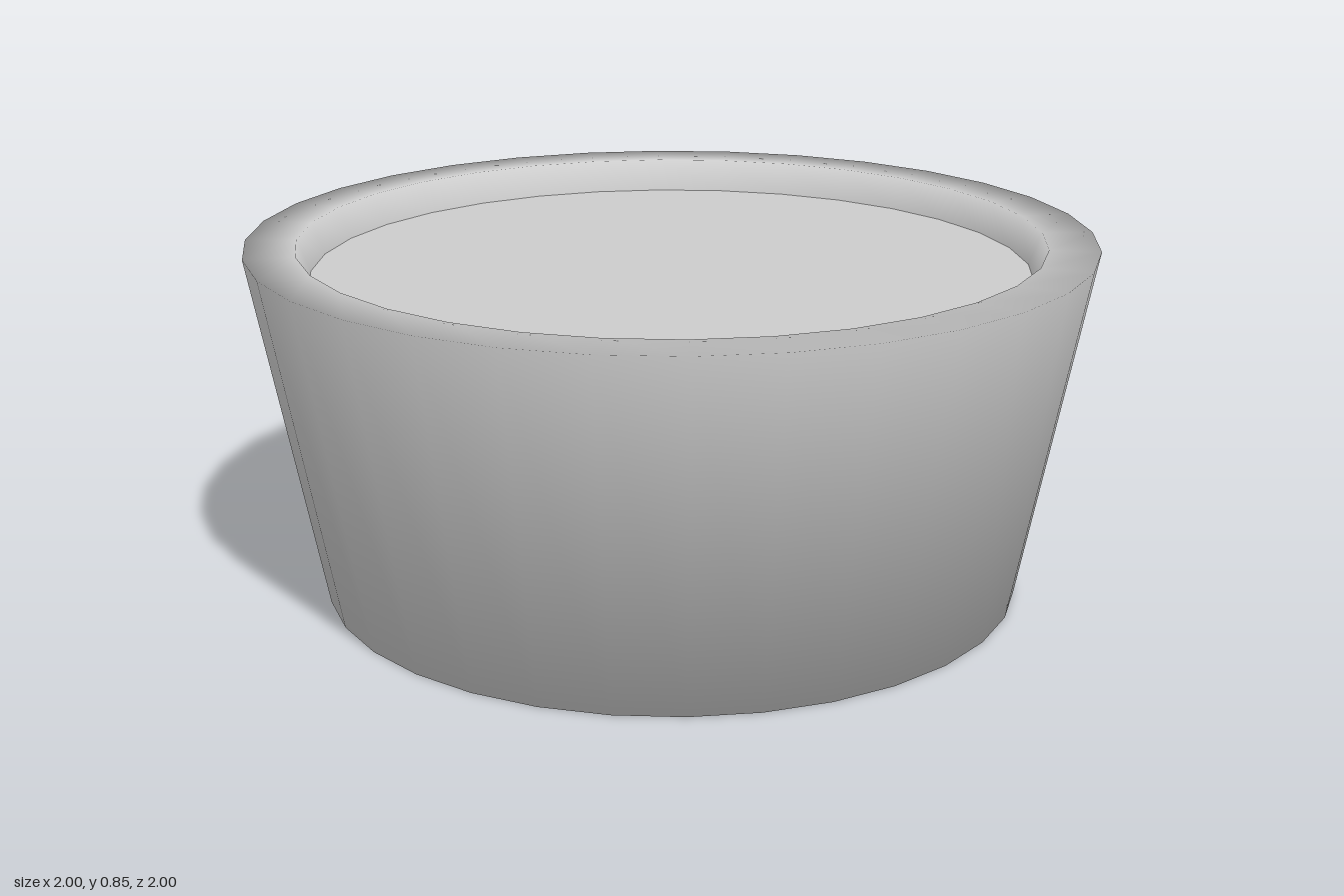
import * as THREE from 'three';

const SIDES = 32;
const FILL_Y = 0.773;

export function createModel() {
  const group = new THREE.Group();
  group.name = 'plantPot';
  const material = new THREE.MeshStandardMaterial({ color: 0xcccccc });

  // Pot shell: closed base, tapered wall, flat rim and inner lip, smooth throughout
  const profile = [
    [0, 0], [0.835, 0], [1, 0.85], [0.88, 0.85], [0.85, FILL_Y], [0.82, FILL_Y - 0.12],
  ].map(([r, y]) => new THREE.Vector2(r, y));
  const pot = new THREE.Mesh(new THREE.LatheGeometry(profile, SIDES), material);
  pot.name = 'pot';
  group.add(pot);

  // Flat fill just below the rim
  const soil = new THREE.Mesh(new THREE.CircleGeometry(0.85, SIDES), material);
  soil.name = 'soil';
  soil.rotation.x = -Math.PI / 2;
  soil.position.y = FILL_Y;
  group.add(soil);

  return group;
}
